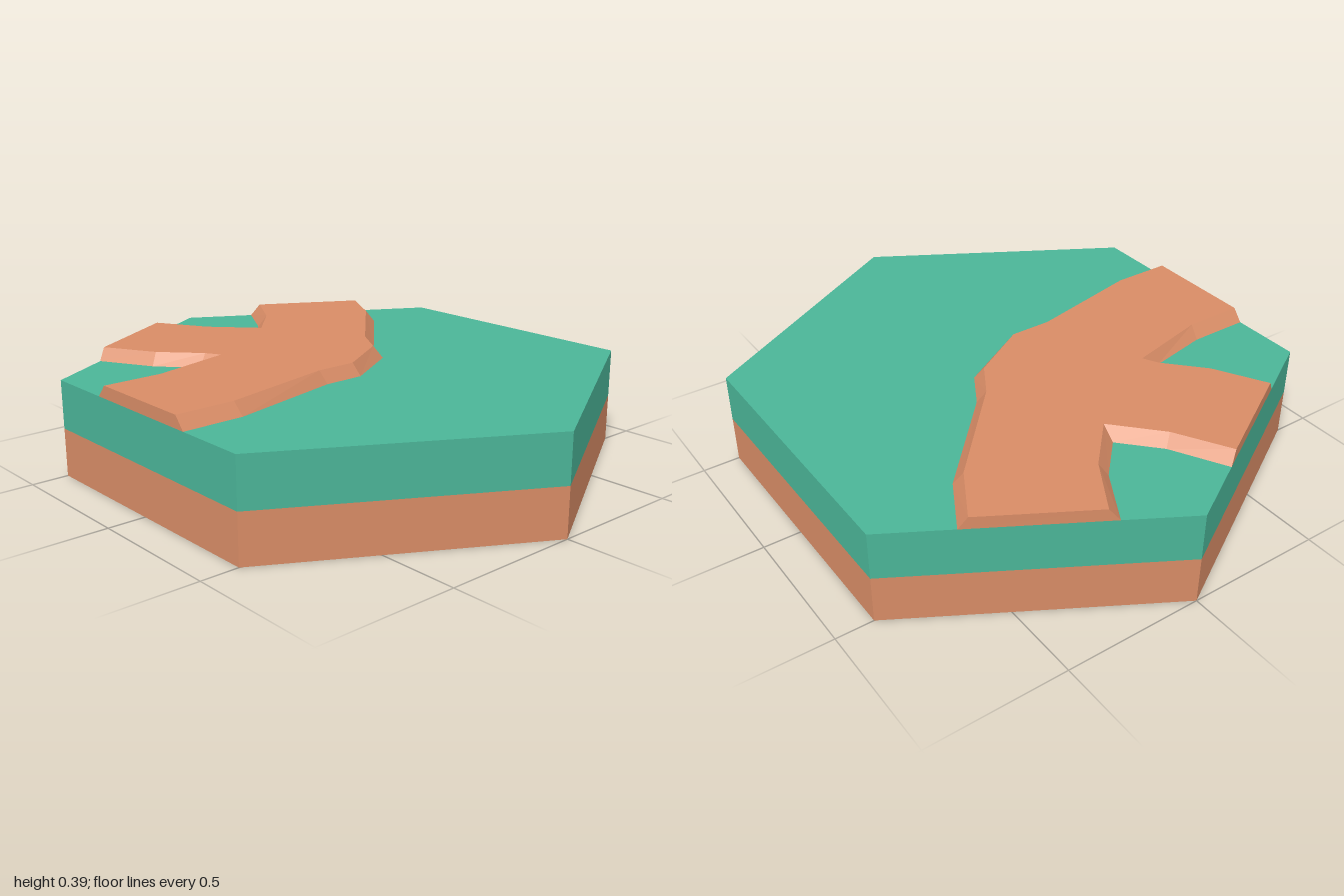
import * as THREE from 'three';

const SLAB_TOP = 0.346, SPLIT = 0.173, PATH_TOP = 0.39;

// Path outline, counter-clockwise from above: foot x, foot z, crest x, crest z
const PATH = [
  // long front bank, west to north-east
  [-0.866, 0.24, -0.866, 0.203],
  [-0.648, 0.24, -0.652, 0.203],
  [-0.22, 0.14, -0.23, 0.11],
  [-0.07, 0.14, -0.08, 0.11],
  [0.157, 0.01, 0.132, -0.015],
  [0.232, -0.12, 0.206, -0.14],
  [0.535, -0.445, 0.507, -0.465],
  [0.638, -0.632, 0.61, -0.648],
  // V-shaped bank at the back
  [0.222, -0.872, 0.254, -0.853],
  [0.118, -0.685, 0.145, -0.665],
  [0, -0.56, 0, -0.51],
  [-0.118, -0.685, -0.145, -0.665],
  [-0.222, -0.872, -0.254, -0.853],
  // V-shaped bank on the west side
  [-0.638, -0.632, -0.61, -0.648],
  [-0.535, -0.445, -0.507, -0.465],
  [-0.42, -0.315, -0.385, -0.335],
  [-0.42, -0.292, -0.355, -0.28],
  [-0.648, -0.245, -0.652, -0.208],
  [-0.866, -0.245, -0.866, -0.208],
];

// Raised slab with sloping banks, open underneath
function pathGeometry() {
  const foot = PATH.map(([x, z]) => [x, SLAB_TOP, z]);
  const crest = PATH.map(([, , x, z]) => [x, PATH_TOP, z]);
  const pos = [];
  const tri = (...pts) => pts.forEach((p) => pos.push(...p));
  foot.forEach((f, i) => {
    const j = (i + 1) % foot.length;
    tri(f, foot[j], crest[j]);
    tri(f, crest[j], crest[i]);
  });
  const contour = crest.map(([x, , z]) => new THREE.Vector2(x, -z));
  for (const [a, b, c] of THREE.ShapeUtils.triangulateShape(contour, [])) tri(crest[a], crest[b], crest[c]);
  const geo = new THREE.BufferGeometry();
  geo.setAttribute('position', new THREE.Float32BufferAttribute(pos, 3));
  geo.computeVertexNormals();
  return geo;
}

export function createModel() {
  const group = new THREE.Group();
  group.name = 'hexTile';

  const grass = new THREE.MeshStandardMaterial({ color: 0x4bb598, flatShading: true });
  grass.name = 'grass green';
  const dirt = new THREE.MeshStandardMaterial({ color: 0xd88c66, flatShading: true });
  dirt.name = 'dirt orange';

  const add = (name, geo, mat) => {
    const mesh = new THREE.Mesh(geo, mat);
    mesh.name = name;
    group.add(mesh);
  };

  // Two stacked hexagonal layers
  const layer = (y0, y1) => new THREE.CylinderGeometry(1, 1, y1 - y0, 6).translate(0, (y0 + y1) / 2, 0);
  add('dirtLayer', layer(0, SPLIT), dirt);
  add('grassLayer', layer(SPLIT, SLAB_TOP), grass);

  // Three-way path on top
  add('path', pathGeometry(), dirt);
  return group;
}
